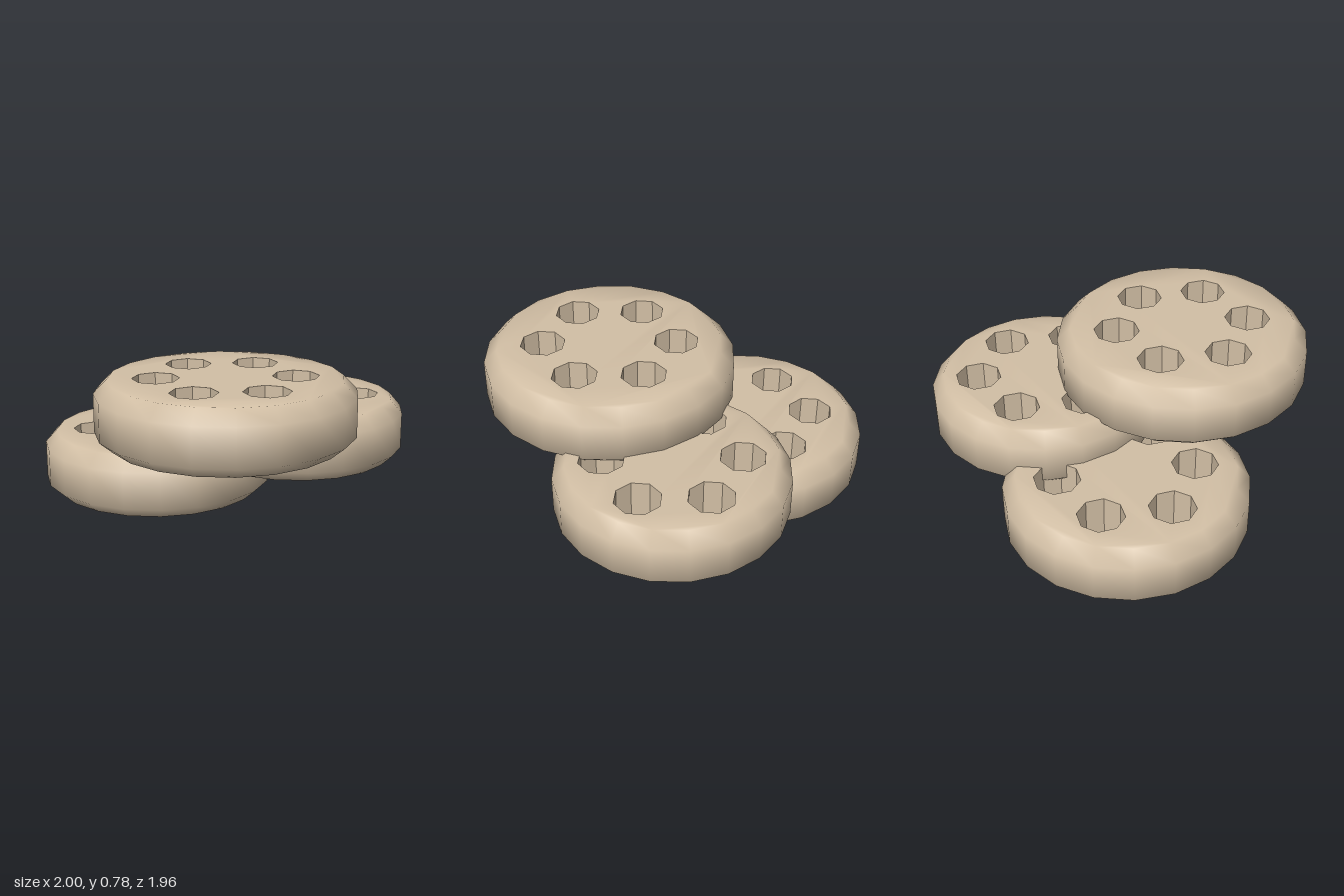
import * as THREE from 'three';
import { mergeGeometries, toCreasedNormals } from 'three/addons/utils/BufferGeometryUtils.js';

const SIDES = 20, HOLES = 6, HOLE_SIDES = 8;
const HOLE_RADIUS = 0.12, HOLE_RING = 0.353;

const tan = new THREE.MeshStandardMaterial({ color: 0xd2bfa5 });
tan.name = 'warm tan';

function polygon(cx, cy, radius, sides) {
  return Array.from({ length: sides }, (_, i) => {
    const a = (i / sides) * Math.PI * 2;
    return new THREE.Vector2(cx + radius * Math.cos(a), cy + radius * Math.sin(a));
  });
}

function holeCentres() {
  return polygon(0, 0, HOLE_RING, HOLES);
}

// Flat face of the disc, pierced by the ring of holes
function capGeometry(radius) {
  const shape = new THREE.Shape(polygon(0, 0, radius, SIDES));
  for (const c of holeCentres()) {
    shape.holes.push(new THREE.Path(polygon(c.x, c.y, HOLE_RADIUS, HOLE_SIDES)));
  }
  return new THREE.ShapeGeometry(shape);
}

// Chamfered rim and both faces, shaded smoothly across the chamfers
function bodyGeometry(radius, height, inset) {
  const flat = radius - inset;
  const rim = new THREE.LatheGeometry([
    new THREE.Vector2(flat, 0),
    new THREE.Vector2(radius, 0.06),
    new THREE.Vector2(radius, height - 0.073),
    new THREE.Vector2(flat, height),
  ], SIDES);
  const top = capGeometry(flat).rotateX(-Math.PI / 2).translate(0, height, 0);
  const bottom = capGeometry(flat).rotateX(Math.PI / 2);
  return toCreasedNormals(mergeGeometries([rim, top, bottom]), 1.0);
}

// Faceted inner walls of the holes, facing inwards
function holeWallGeometry(height) {
  const walls = holeCentres().map((c) =>
    new THREE.CylinderGeometry(HOLE_RADIUS, HOLE_RADIUS, height, HOLE_SIDES, 1, true)
      .scale(-1, 1, 1)
      .translate(c.x, height / 2, c.y));
  const merged = mergeGeometries(walls).toNonIndexed();
  merged.computeVertexNormals();
  return merged;
}

function createDisc(name, { radius, height, inset, position }) {
  const disc = new THREE.Group();
  disc.name = name;
  const body = new THREE.Mesh(bodyGeometry(radius, height, inset), tan);
  body.name = 'discBody';
  const walls = new THREE.Mesh(holeWallGeometry(height), tan);
  walls.name = 'holeWalls';
  disc.add(body, walls);
  disc.position.set(...position);
  return disc;
}

export function createModel() {
  const model = new THREE.Group();
  model.name = 'stackedDiscs';
  model.add(
    createDisc('lowerDisc', { radius: 0.632, height: 0.333, inset: 0.067, position: [-0.368, 0, -0.352] }),
    createDisc('middleDisc', { radius: 0.604, height: 0.328, inset: 0.063, position: [0.396, 0.193, -0.295] }),
    createDisc('upperDisc', { radius: 0.667, height: 0.332, inset: 0.071, position: [-0.032, 0.444, 0.31] }),
  );
  return model;
}
